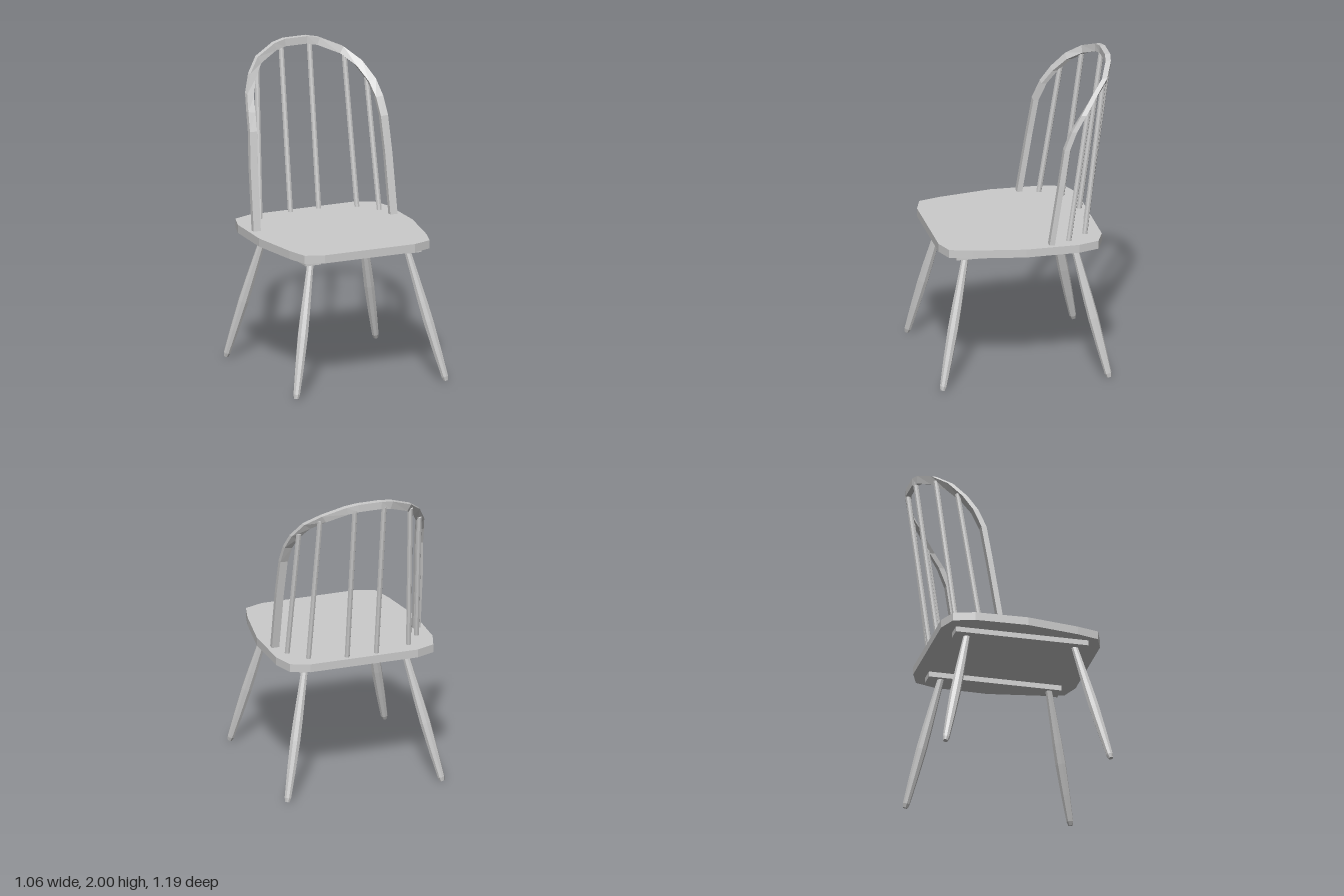
import * as THREE from 'three';

const material = new THREE.MeshStandardMaterial({ color: 0xcccccc, flatShading: true });
const V = (x, y, z) => new THREE.Vector3(x, y, z);

function add(group, name, geometry) {
  const mesh = new THREE.Mesh(geometry, material);
  mesh.name = name;
  group.add(mesh);
  return mesh;
}

// Turned rod from a to b; the profile lists [radius, fraction of length]
function addRod(group, name, a, b, profile) {
  const dir = b.clone().sub(a);
  const points = profile.map(([r, t]) => new THREE.Vector2(r, t * dir.length()));
  const rod = add(group, name, new THREE.LatheGeometry(points, 8));
  rod.position.copy(a);
  rod.quaternion.setFromUnitVectors(V(0, 1, 0), dir.normalize());
}

// Four-cornered bar swept along a path; the ends are closed
function bowGeometry(path, width, depth) {
  const positions = [], index = [];
  path.forEach((p, i) => {
    const before = path[Math.max(i - 1, 0)], after = path[Math.min(i + 1, path.length - 1)];
    const tangent = after.clone().sub(before);
    const n = V(tangent.y, -tangent.x, 0).normalize().multiplyScalar(width / 2);
    for (const [u, w] of [[1, 1], [-1, 1], [-1, -1], [1, -1]]) {
      positions.push(p.x + u * n.x, p.y + u * n.y, p.z + w * depth / 2);
    }
  });
  for (let i = 0; i < path.length - 1; i++) {
    for (let k = 0; k < 4; k++) {
      const a = i * 4 + k, b = i * 4 + (k + 1) % 4;
      index.push(a, a + 4, b, b, a + 4, b + 4);
    }
  }
  const e = (path.length - 1) * 4;
  index.push(0, 1, 2, 0, 2, 3, e, e + 2, e + 1, e, e + 3, e + 2);
  const geometry = new THREE.BufferGeometry();
  geometry.setAttribute('position', new THREE.Float32BufferAttribute(positions, 3));
  geometry.setIndex(index);
  const flat = geometry.toNonIndexed();
  flat.computeVertexNormals();
  return flat;
}

export function createModel() {
  const chair = new THREE.Group();
  chair.name = 'chair';

  // Seat: faceted slab, outline given as [x, z] of the left half
  const half = [[0.31, 0.557], [0.43, 0.515], [0.47, 0.375], [0.527, 0.04],
    [0.52, -0.3], [0.477, -0.433], [0.357, -0.48]];
  const outline = [...half, ...half.map(([x, z]) => [-x, z]).reverse()];
  const seatShape = new THREE.Shape(outline.map(([x, z]) => new THREE.Vector2(x, -z)));
  const seat = new THREE.ExtrudeGeometry(seatShape, { depth: 0.053, bevelEnabled: false });
  seat.rotateX(-Math.PI / 2).translate(0, 0.858, 0);
  add(chair, 'seat', seat);

  // Bow: bent frame of the backrest
  const side = [V(0.47, 0.9, -0.13), V(0.462, 1.3, -0.195), V(0.45, 1.53, -0.233),
    V(0.439, 1.643, -0.282), V(0.419, 1.735, -0.347), V(0.365, 1.832, -0.427),
    V(0.283, 1.904, -0.512), V(0.148, 1.962, -0.566), V(0.075, 1.976, -0.58)];
  const mirrored = side.map(p => V(-p.x, p.y, p.z)).reverse();
  add(chair, 'backBow', bowGeometry([...side, ...mirrored], 0.049, 0.034));

  const spindles = [
    [V(0.43, 0.9, -0.25), V(0.4, 1.77, -0.385)],
    [V(0.333, 0.9, -0.375), V(0.3, 1.89, -0.5)],
    [V(0.097, 0.9, -0.435), V(0.097, 1.96, -0.58)]];
  const spindleProfile = [[0, 0], [0.017, 0], [0.017, 1], [0, 1]];
  const legProfile = [[0, 0], [0.015, 0], [0.022, 0.03], [0.029, 0.22], [0.034, 0.45],
    [0.032, 0.6], [0.025, 0.85], [0.021, 1], [0, 1]];

  for (const s of [1, -1]) {
    const hand = s > 0 ? 'left' : 'right';
    const flip = p => V(s * p.x, p.y, p.z);

    spindles.forEach(([a, b], i) => addRod(chair, `${hand}Spindle${i + 1}`, flip(a), flip(b), spindleProfile));

    // Batten under the seat that holds the legs
    const batten = add(chair, `${hand}Batten`, new THREE.BoxGeometry(0.105, 0.036, 0.855));
    batten.position.set(s * 0.345, 0.842, 0.033);

    // Splayed legs, thickest in the middle
    addRod(chair, `${hand}FrontLeg`, V(s * 0.515, 0.004, 0.576), V(s * 0.33, 0.835, 0.387), legProfile);
    addRod(chair, `${hand}BackLeg`, V(s * 0.515, 0.004, -0.492), V(s * 0.33, 0.835, -0.307), legProfile);
  }
  return chair;
}
